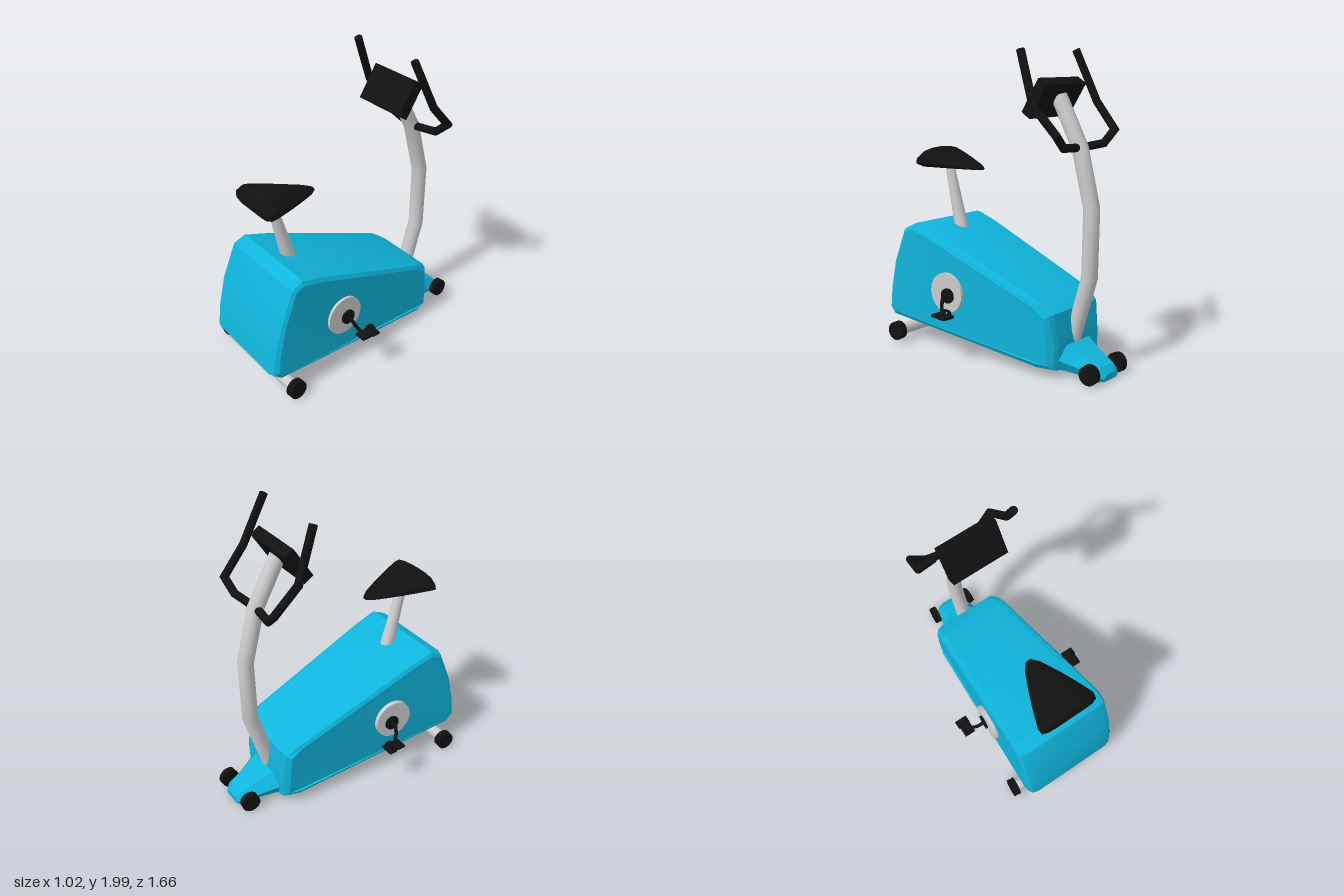
import * as THREE from 'three';
import { toCreasedNormals } from 'three/addons/utils/BufferGeometryUtils.js';

const blue = new THREE.MeshStandardMaterial({ color: 0x0fb5dc });
const black = new THREE.MeshStandardMaterial({ color: 0x111111 });
const grey = new THREE.MeshStandardMaterial({ color: 0xcccccc });
const V = (x, y, z) => new THREE.Vector3(x, y, z);

// Closed skin over rings of points; rings turn right-handed about the travel direction.
function loft(rings, crease = 0.5) {
  const pos = [];
  const tri = (...pts) => pts.forEach((p) => pos.push(p.x, p.y, p.z));
  const n = rings[0].length;
  const centre = (r) => r.reduce((s, p) => s.add(p), V(0, 0, 0)).divideScalar(n);
  const first = rings[0], last = rings[rings.length - 1];
  const c0 = centre(first), c1 = centre(last);
  for (let j = 0; j < n; j++) {
    const k = (j + 1) % n;
    for (let i = 0; i < rings.length - 1; i++) {
      const p = rings[i], q = rings[i + 1];
      tri(p[j], p[k], q[j]);
      tri(p[k], q[k], q[j]);
    }
    tri(c0, first[k], first[j]);
    tri(c1, last[j], last[k]);
  }
  const geo = new THREE.BufferGeometry();
  geo.setAttribute('position', new THREE.Float32BufferAttribute(pos, 3));
  return toCreasedNormals(geo, crease);
}

// Round tube along straight pieces with mitred joints.
function pipe(pts, r, sides = 16) {
  const dir = (i) => pts[i + 1].clone().sub(pts[i]).normalize();
  const turn = new THREE.Quaternion().setFromUnitVectors(V(0, 0, 1), dir(0));
  let ring = Array.from({ length: sides }, (_, j) => {
    const a = (j / sides) * Math.PI * 2;
    return V(r * Math.cos(a), r * Math.sin(a), 0).applyQuaternion(turn).add(pts[0]);
  });
  const rings = [ring];
  for (let i = 1; i < pts.length; i++) {
    const d = dir(i - 1);
    const normal = i < pts.length - 1 ? d.clone().add(dir(i)).normalize() : d;
    ring = ring.map((p) => {
      const t = pts[i].clone().sub(p).dot(normal) / d.dot(normal);
      return p.clone().addScaledVector(d, t);
    });
    rings.push(ring);
  }
  return loft(rings, 0.45);
}

export function createModel() {
  const model = new THREE.Group();
  const add = (name, geo, mat, x = 0, y = 0, z = 0) => {
    const mesh = new THREE.Mesh(geo, mat);
    mesh.name = name;
    mesh.position.set(x, y, z);
    model.add(mesh);
    return mesh;
  };
  // Disc with its axis along x, toed in by a small turn
  const disc = (name, r, w, mat, x, y, z, toe = 0) => {
    const geo = new THREE.CylinderGeometry(r, r, w, 32).rotateZ(Math.PI / 2);
    add(name, geo, mat, x, y, z).rotation.y = toe;
  };

  // Housing: bevelled side profile, narrowing towards the back
  const profile = [[0.83, 0.21], [0.77, 0.165], [-0.45, 0.06], [-0.56, 0.055], [-0.57, 0.2],
    [-0.54, 0.41], [-0.45, 0.475], [0.41, 0.79], [0.58, 0.84], [0.665, 0.8], [0.76, 0.56], [0.81, 0.36]];
  const shape = new THREE.Shape(profile.map(([z, y]) => new THREE.Vector2(z, y)).reverse());
  const housing = new THREE.ExtrudeGeometry(shape, {
    depth: 1.7, bevelThickness: 0.15, bevelSize: 0.035, bevelOffset: -0.035, bevelSegments: 2,
  }).translate(0, 0, -0.85).rotateY(-Math.PI / 2);
  const p = housing.attributes.position;
  for (let i = 0; i < p.count; i++) {
    const z = p.getZ(i);
    const half = 0.304 + 0.066 * z - 0.6 * Math.max(0, -0.5 - z) - 0.25 * Math.max(0, z - 0.77);
    p.setX(i, p.getX(i) * half + 0.007 * (z + 0.5));
  }
  add('housing', toCreasedNormals(housing, 0.3), blue);

  // Low tail carrying the transport wheels: z, half width, bottom, top
  const tail = [[-0.825, 0.07, 0.015, 0.055], [-0.79, 0.11, 0.01, 0.095], [-0.68, 0.135, 0.03, 0.145],
    [-0.58, 0.18, 0.045, 0.195], [-0.5, 0.23, 0.055, 0.24]];
  add('tail', loft(tail.map(([z, w, b, t]) => {
    const m = b + (t - b) * 0.45;
    return [V(w, m, z), V(w * 0.62, t, z), V(-w * 0.62, t, z), V(-w, m, z), V(-w * 0.8, b, z), V(w * 0.8, b, z)];
  }), 0.3), blue);

  // Upright column
  add('column', pipe([V(0, 0.16, -0.515), V(0, 0.62, -0.65), V(0, 1.05, -0.657),
    V(0, 1.41, -0.565), V(0, 1.71, -0.4)], 0.051, 20), grey);

  // Display console
  add('console', new THREE.BoxGeometry(0.385, 0.243, 0.074), black, 0.008, 1.704, -0.367).rotation.x = -0.565;

  // Seat post and saddle
  const postBottom = V(0, 0.7, 0.43), postTop = V(0, 1.23, 0.567);
  const along = postTop.clone().sub(postBottom);
  const mid = postTop.clone().add(postBottom).multiplyScalar(0.5);
  add('seatPost', new THREE.CylinderGeometry(0.03, 0.05, along.length(), 24), grey, ...mid.toArray())
    .quaternion.setFromUnitVectors(V(0, 1, 0), along.normalize());
  // Saddle sections: z, half width, bottom, top
  const saddle = [[0.25, 0.02, 1.2, 1.218], [0.3, 0.06, 1.2, 1.235], [0.44, 0.125, 1.2, 1.275],
    [0.54, 0.165, 1.2, 1.303], [0.65, 0.205, 1.2, 1.33], [0.685, 0.2, 1.2, 1.305], [0.698, 0.165, 1.21, 1.27]];
  add('seat', loft(saddle.map(([z, w, b, t]) => {
    const y = (f) => b + (t - b) * f;
    const half = [[1, 0.25], [0.97, 0.55], [0.74, 0.85], [0.4, 0.97]].map(([f, h]) => [f * w, y(h)]);
    const right = half.map(([x, h]) => V(-x, h, z)).reverse();
    return [...half.map(([x, h]) => V(x, h, z)), V(0, t, z), ...right, V(-w * 0.7, b, z), V(w * 0.7, b, z)];
  }), 0.6), black);

  // Front stabiliser bar on a short stem
  add('stabiliserBar', new THREE.CylinderGeometry(0.04, 0.04, 0.76, 24).rotateZ(Math.PI / 2), grey, 0, 0.078, 0.695);
  add('stabiliserStem', new THREE.CylinderGeometry(0.04, 0.04, 0.13, 20), grey, 0, 0.15, 0.685);

  // Paired parts: s = 1 is the left side, -1 the right
  for (const s of [1, -1]) {
    const side = s > 0 ? 'left' : 'right';
    disc(side + 'FrontFoot', 0.063, 0.05, black, s * 0.396, 0.078, 0.69, s * 0.1);
    disc(side + 'TransportWheel', 0.062, 0.046, black, s * 0.145, 0.068, -0.768, s * 0.1);
    disc(side + 'CrankCover', 0.133, 0.06, grey, s * 0.314, 0.42, 0.26, s * 0.066);
    disc(side + 'CrankHub', 0.05, 0.05, black, s * 0.332, 0.405, 0.24, s * 0.066);

    add(side + 'Handlebar', pipe([V(0, 1.41, -0.562), V(s * 0.2, 1.425, -0.595), V(s * 0.29, 1.505, -0.61),
      V(s * 0.312, 1.67, -0.455), V(s * 0.267, 1.99, -0.32)], 0.026, 12), black);

    add(side + 'CrankArm', pipe([V(s * 0.34, 0.405, 0.24), V(s * 0.39, 0.4, 0.24), V(s * 0.415, 0.36, 0.225),
      V(s * 0.435, 0.315, 0.2), V(s * 0.47, 0.308, 0.19)], 0.012, 10), black);
    add(side + 'Pedal', new THREE.BoxGeometry(0.078, 0.015, 0.13), black, s * 0.463, 0.308, 0.17);
    add(side + 'PedalFront', new THREE.BoxGeometry(0.09, 0.015, 0.055), black, s * 0.465, 0.308, 0.132);

    // Toe strap arching over the pedal
    const arch = new THREE.Shape();
    arch.absarc(0, 0, 0.04, 0, Math.PI, false);
    arch.absarc(0, 0, 0.032, Math.PI, 0, true);
    const strap = new THREE.ExtrudeGeometry(arch, { depth: 0.03, bevelEnabled: false, curveSegments: 10 });
    strap.scale(1, 1.2, 1);
    add(side + 'ToeStrap', strap, black, s * 0.463, 0.312, 0.125);
  }
  return model;
}
